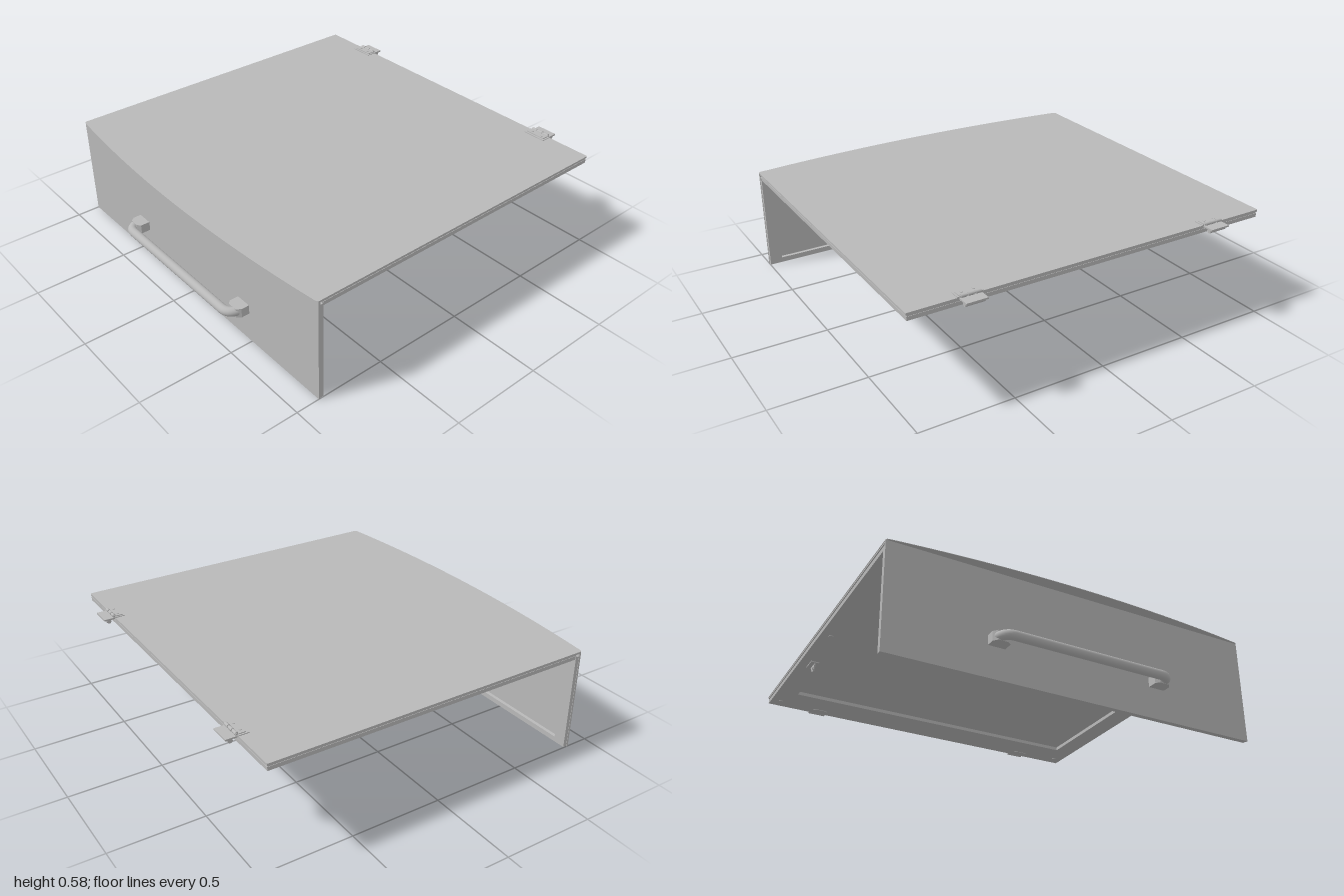
import * as THREE from 'three';

const steel = new THREE.MeshStandardMaterial({ color: 0xb8b8b8 });
steel.name = 'grey steel';

export function createModel() {
  const model = new THREE.Group();
  model.name = 'foldingCover';

  const add = (name, geometry, x = 0, y = 0, z = 0, parent = model) => {
    const mesh = new THREE.Mesh(geometry, steel);
    mesh.name = name;
    mesh.position.set(x, y, z);
    parent.add(mesh);
    return mesh;
  };
  // Box given by its limits on each axis
  const box = (name, [x0, x1], [y0, y1], [z0, z1], parent) =>
    add(name, new THREE.BoxGeometry(x1 - x0, y1 - y0, z1 - z0),
      (x0 + x1) / 2, (y0 + y1) / 2, (z0 + z1) / 2, parent);
  const rod = (name, radius, length, x, y, z, parent) =>
    add(name, new THREE.CylinderGeometry(radius, radius, length, 20).rotateZ(Math.PI / 2), x, y, z, parent);
  const polygon = (points) => new THREE.Shape(points.map(([a, b]) => new THREE.Vector2(a, b)));
  const extrude = (shape, depth) =>
    new THREE.ExtrudeGeometry(shape, { depth, bevelEnabled: false, curveSegments: 24 });
  // Rectangular frame with a rectangular opening
  const frame = (x, [a0, a1], hx, [h0, h1], depth) => {
    const shape = polygon([[-x, a0], [x, a0], [x, a1], [-x, a1]]);
    shape.holes.push(polygon([[-hx, h0], [-hx, h1], [hx, h1], [hx, h0]]));
    return extrude(shape, depth);
  };

  // Thin top sheet with a bowed, overhanging front edge
  const sheet = new THREE.Shape();
  sheet.moveTo(-0.99, -0.935);
  sheet.lineTo(0.99, -0.935);
  sheet.quadraticCurveTo(1, -0.935, 1, -0.925);
  sheet.lineTo(1, 0.87);
  sheet.quadraticCurveTo(1, 0.88, 0.985, 0.882);
  sheet.quadraticCurveTo(0, 0.998, -0.985, 0.882);
  sheet.quadraticCurveTo(-1, 0.88, -1, 0.87);
  sheet.lineTo(-1, -0.925);
  sheet.quadraticCurveTo(-1, -0.935, -0.99, -0.935);
  add('topSheet', extrude(sheet, 0.003).rotateX(Math.PI / 2), 0, 0.565);

  // Lid pan: core and folded flange frame underneath
  box('lidEdge', [-0.998, 0.998], [0.553, 0.562], [-0.934, 0.872]);
  box('lidCore', [-0.993, 0.993], [0.545, 0.553], [-0.93, 0.85]);
  add('lidFlange', frame(0.995, [-0.932, 0.85], 0.88, [-0.735, 0.81], 0.02).rotateX(Math.PI / 2), 0, 0.545);

  // Front panel: face and folded flange frame behind
  box('frontFace', [-1, 1], [0, 0.562], [0.865, 0.875]);
  add('frontFlange', frame(0.998, [0.002, 0.54], 0.93, [0.03, 0.525], 0.02), 0, 0, 0.845);

  // Corner gussets between lid and front
  const gusset = polygon([[0.846, 0.526], [0.846, 0.495], [0.82, 0.526]]);
  for (const x of [-0.95, 0.96]) add('cornerGusset', extrude(gusset, 0.01).rotateY(-Math.PI / 2), x);

  // Stay tab with a hole, under the lid
  const tab = polygon([[-0.38, 0.526], [-0.35, 0.483], [-0.34, 0.479], [-0.33, 0.483], [-0.30, 0.526]]);
  const eye = new THREE.Path();
  eye.absarc(-0.34, 0.497, 0.009, 0, Math.PI * 2, true);
  tab.holes.push(eye);
  add('stayTab', extrude(tab, 0.008).rotateY(-Math.PI / 2), -0.915);
  box('stayTabFoot', [-0.945, -0.9], [0.519, 0.525], [-0.38, -0.3]);

  // Screw heads on the underside
  for (const s of [-1, 1]) for (const z of [-0.87, 0, 0.78])
    add('screwHead', new THREE.CylinderGeometry(0.012, 0.012, 0.004, 16), s * 0.94, 0.524, z);

  // Pull handle: bent bar on two mounting pads
  const path = new THREE.CurvePath();
  const v = (x, z) => new THREE.Vector3(x, 0.19, z);
  path.add(new THREE.QuadraticBezierCurve3(v(-0.46, 0.915), v(-0.45, 0.968), v(-0.40, 0.968)));
  path.add(new THREE.LineCurve3(v(-0.40, 0.968), v(0.40, 0.968)));
  path.add(new THREE.QuadraticBezierCurve3(v(0.40, 0.968), v(0.45, 0.968), v(0.46, 0.915)));
  add('handleBar', new THREE.TubeGeometry(path, 80, 0.024, 20));
  for (const s of [-1, 1]) {
    const pad = polygon([[0.40, 0.875], [0.488, 0.875], [0.488, 0.918], [0.47, 0.94], [0.42, 0.94], [0.40, 0.925]]
      .map(([x, z]) => [s * x, z]));
    add('handlePad', extrude(pad, 0.05).rotateX(Math.PI / 2), 0, 0.215);
  }

  // Rear hinges
  for (const x of [-0.69, 0.69]) {
    const hinge = new THREE.Group();
    hinge.name = 'hinge';
    hinge.position.x = x;
    model.add(hinge);
    box('lidLeaf', [-0.064, 0.064], [0.564, 0.569], [-0.935, -0.882], hinge);
    box('lidLeafCap', [-0.055, 0.055], [0.568, 0.573], [-0.93, -0.893], hinge);
    box('rearLeaf', [-0.055, 0.055], [0.555, 0.563], [-0.995, -0.935], hinge);
    rod('hingePin', 0.006, 0.11, 0, 0.571, -0.937, hinge);
    for (const k of [-0.036, 0, 0.036]) rod('knuckle', 0.009, 0.028, k, 0.571, -0.937, hinge);
    rod('lowerBarrel', 0.012, 0.1, 0, 0.546, -0.968, hinge);
    for (const k of [-0.03, 0.03])
      add('hingeScrew', new THREE.CylinderGeometry(0.007, 0.007, 0.003, 12), k, 0.574, -0.908, hinge);
    add('hingeBoltPlate', new THREE.CylinderGeometry(0.03, 0.03, 0.004, 20).scale(1.4, 1, 0.5), 0, 0.524, -0.89, hinge);
  }
  return model;
}
